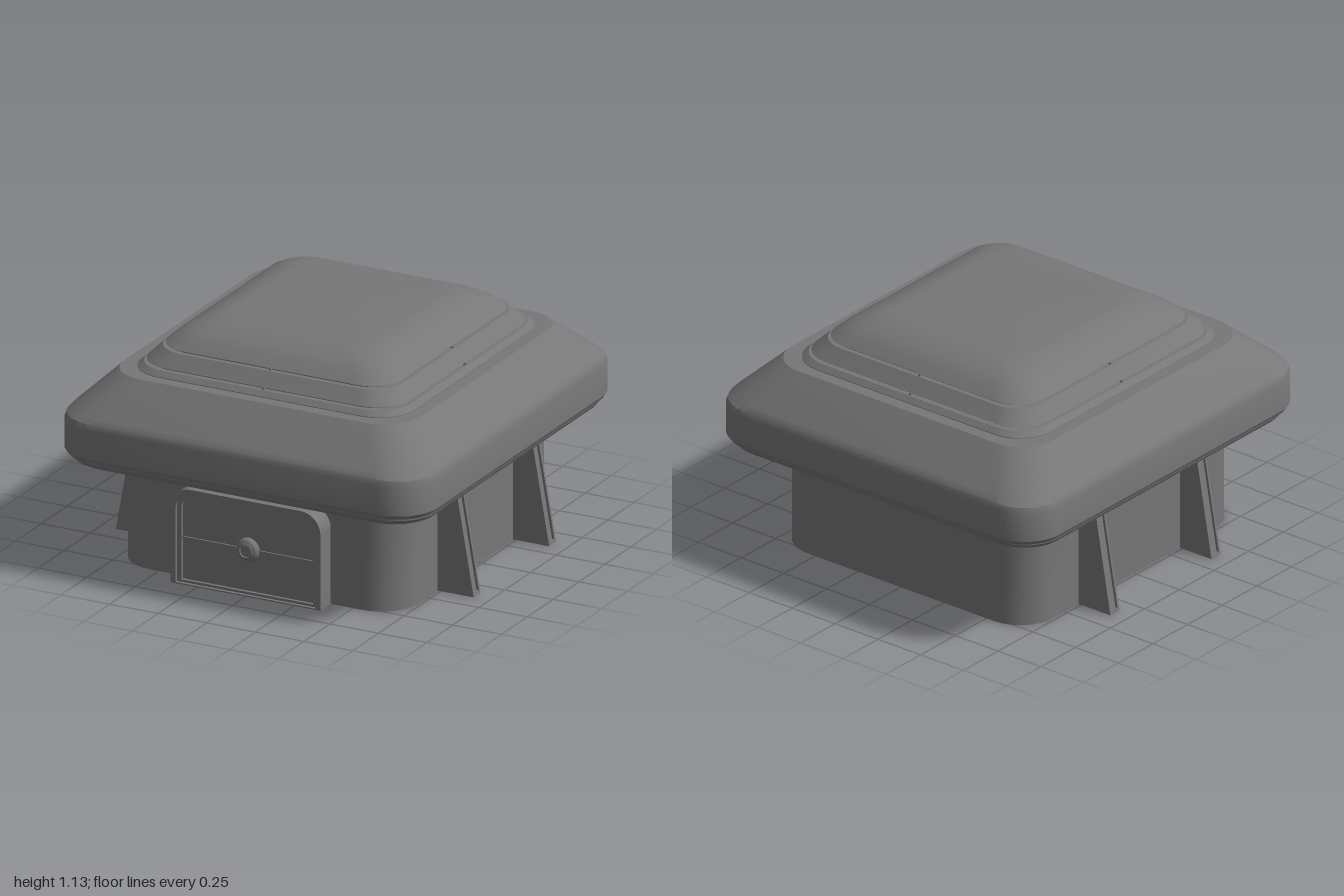
import * as THREE from 'three';
import { toCreasedNormals } from 'three/addons/utils/BufferGeometryUtils.js';

const CORNER = 8;

// Rounded-rectangle ring at one height, going from +x towards +z
function ring([y, hx, hz, r]) {
  const pts = [];
  [[1, 1], [-1, 1], [-1, -1], [1, -1]].forEach(([sx, sz], q) => {
    for (let i = 0; i <= CORNER; i++) {
      const a = (q + i / CORNER) * Math.PI / 2;
      pts.push([sx * (hx - r) + r * Math.cos(a), y, sz * (hz - r) + r * Math.sin(a)]);
    }
  });
  return pts;
}

// Closed loft through rounded-rectangle sections [y, halfX, halfZ, radius]
function loft(sections) {
  const rings = sections.map(ring), pos = [], n = rings[0].length, last = rings.length - 1;
  const tri = (...p) => p.forEach((v) => pos.push(...v));
  for (let j = 0; j < n; j++) {
    const k = (j + 1) % n;
    for (let i = 0; i < last; i++) {
      const a = rings[i][j], b = rings[i][k], c = rings[i + 1][j], d = rings[i + 1][k];
      tri(a, c, b);
      tri(b, c, d);
    }
    tri([0, sections[0][0], 0], rings[0][j], rings[0][k]);
    tri([0, sections[last][0], 0], rings[last][k], rings[last][j]);
  }
  const g = new THREE.BufferGeometry();
  g.setAttribute('position', new THREE.Float32BufferAttribute(pos, 3));
  return toCreasedNormals(g, 0.45);
}

// Door outline: square at the bottom, rounded at the top
function doorPath(P, hw, y0, y1, r) {
  const s = new P();
  s.moveTo(-hw, y0);
  s.lineTo(hw, y0);
  s.lineTo(hw, y1 - r);
  s.absarc(hw - r, y1 - r, r, 0, Math.PI / 2, false);
  s.lineTo(-hw + r, y1);
  s.absarc(-hw + r, y1 - r, r, Math.PI / 2, Math.PI, false);
  s.lineTo(-hw, y0);
  return s;
}

export function createModel() {
  const model = new THREE.Group();
  const grey = new THREE.MeshStandardMaterial({ color: 0x777777 });
  grey.name = 'mid grey';

  const add = (name, geo, parent = model, x = 0, y = 0, z = 0) => {
    const m = new THREE.Mesh(geo, grey);
    m.name = name;
    m.position.set(x, y, z);
    parent.add(m);
    return m;
  };
  const extrude = (shape, depth) => toCreasedNormals(
    new THREE.ExtrudeGeometry(shape, { depth, bevelEnabled: false, curveSegments: 8 }), 0.45);

  // Base block
  add('base', loft([[0, 0.735, 0.775, 0.19], [0.52, 0.735, 0.775, 0.19]]));

  // Overhanging lid with a stepped lower lip and a sloping shoulder
  add('lid', loft([
    [0.502, 0.85, 0.9, 0.16], [0.508, 0.885, 0.935, 0.18], [0.522, 0.91, 0.96, 0.19],
    [0.54, 0.92, 0.97, 0.19], [0.555, 0.92, 0.97, 0.19], [0.555, 0.935, 0.99, 0.2],
    [0.575, 0.945, 1.0, 0.2], [0.715, 0.945, 1.0, 0.2], [0.742, 0.938, 0.992, 0.2],
    [0.767, 0.918, 0.97, 0.2], [0.925, 0.76, 0.8, 0.18],
  ]));

  // Domed cap with two grooves around it
  add('cap', loft([
    [0.92, 0.7, 0.74, 0.18], [0.928, 0.7, 0.74, 0.18], [0.95, 0.675, 0.715, 0.17],
    [0.95, 0.65, 0.69, 0.16], [0.96, 0.65, 0.69, 0.16], [0.96, 0.665, 0.705, 0.165],
    [1.02, 0.608, 0.648, 0.155], [1.02, 0.585, 0.625, 0.15], [1.03, 0.585, 0.625, 0.15],
    [1.03, 0.598, 0.638, 0.15], [1.066, 0.56, 0.597, 0.145], [1.098, 0.51, 0.545, 0.14],
    [1.122, 0.45, 0.48, 0.135], [1.132, 0.41, 0.435, 0.13], [1.135, 0.37, 0.39, 0.13],
  ]));

  // Small bridges across the grooves, one in the middle of each side
  for (const [y, x] of [[0.955, 0.659], [1.025, 0.592]]) {
    for (const s of [-1, 1]) {
      add('grooveBridge', new THREE.BoxGeometry(0.02, 0.012, 0.008), model, s * x, y, 0);
      add('grooveBridge', new THREE.BoxGeometry(0.008, 0.012, 0.02), model, 0, y, s * (x + 0.04));
    }
  }

  // Tapered side buttresses with a raised rim on the sloping face
  const wedge = (foot, head) => new THREE.Shape([
    new THREE.Vector2(0.7, 0), new THREE.Vector2(foot, 0),
    new THREE.Vector2(head, 0.51), new THREE.Vector2(0.7, 0.51),
  ]);
  for (const side of [0, Math.PI]) {
    for (const z of [-0.365, 0.365]) {
      const buttress = new THREE.Group();
      buttress.name = 'buttress';
      buttress.rotation.y = side;
      buttress.position.z = z;
      add('buttressCore', extrude(wedge(0.908, 0.818), 0.044), buttress, 0, 0, -0.022);
      for (const e of [-0.0335, 0.0215]) {
        add('buttressRim', extrude(wedge(0.92, 0.83), 0.012), buttress, 0, 0, e);
      }
      for (const [y, x] of [[0, 0.92], [0.485, 0.834]]) {
        const cap = new THREE.Shape([
          new THREE.Vector2(x - 0.03, y), new THREE.Vector2(x, y),
          new THREE.Vector2(x - 0.0026, y + 0.015), new THREE.Vector2(x - 0.03, y + 0.015),
        ]);
        add('buttressRimEnd', extrude(cap, 0.044), buttress, 0, 0, -0.022);
      }
      model.add(buttress);
    }
  }

  // Front door: outer frame, inner step, recessed panel, rail and knob
  const door = new THREE.Group();
  door.name = 'door';
  door.position.z = 0.76;
  const frame = doorPath(THREE.Shape, 0.385, 0, 0.467, 0.1);
  frame.holes.push(doorPath(THREE.Path, 0.36, 0.006, 0.443, 0.078));
  add('doorFrame', extrude(frame, 0.115), door);
  const step = doorPath(THREE.Shape, 0.362, 0.004, 0.445, 0.08);
  step.holes.push(doorPath(THREE.Path, 0.338, 0.018, 0.425, 0.055));
  add('doorStep', extrude(step, 0.1), door);
  add('doorPanel', extrude(doorPath(THREE.Shape, 0.34, 0.016, 0.427, 0.057), 0.085), door);
  add('doorRail', new THREE.BoxGeometry(0.676, 0.01, 0.01), door, 0, 0.22, 0.088);
  const knobProfile = [[0, 0], [0.057, 0], [0.057, 0.012], [0.05, 0.024], [0.03, 0.034],
    [0.028, 0.028], [0, 0.028]].map(([r, y]) => new THREE.Vector2(r, y));
  const knob = add('doorKnob', toCreasedNormals(new THREE.LatheGeometry(knobProfile, 24), 0.5),
    door, 0, 0.22, 0.085);
  knob.rotation.x = Math.PI / 2;
  model.add(door);

  return model;
}
